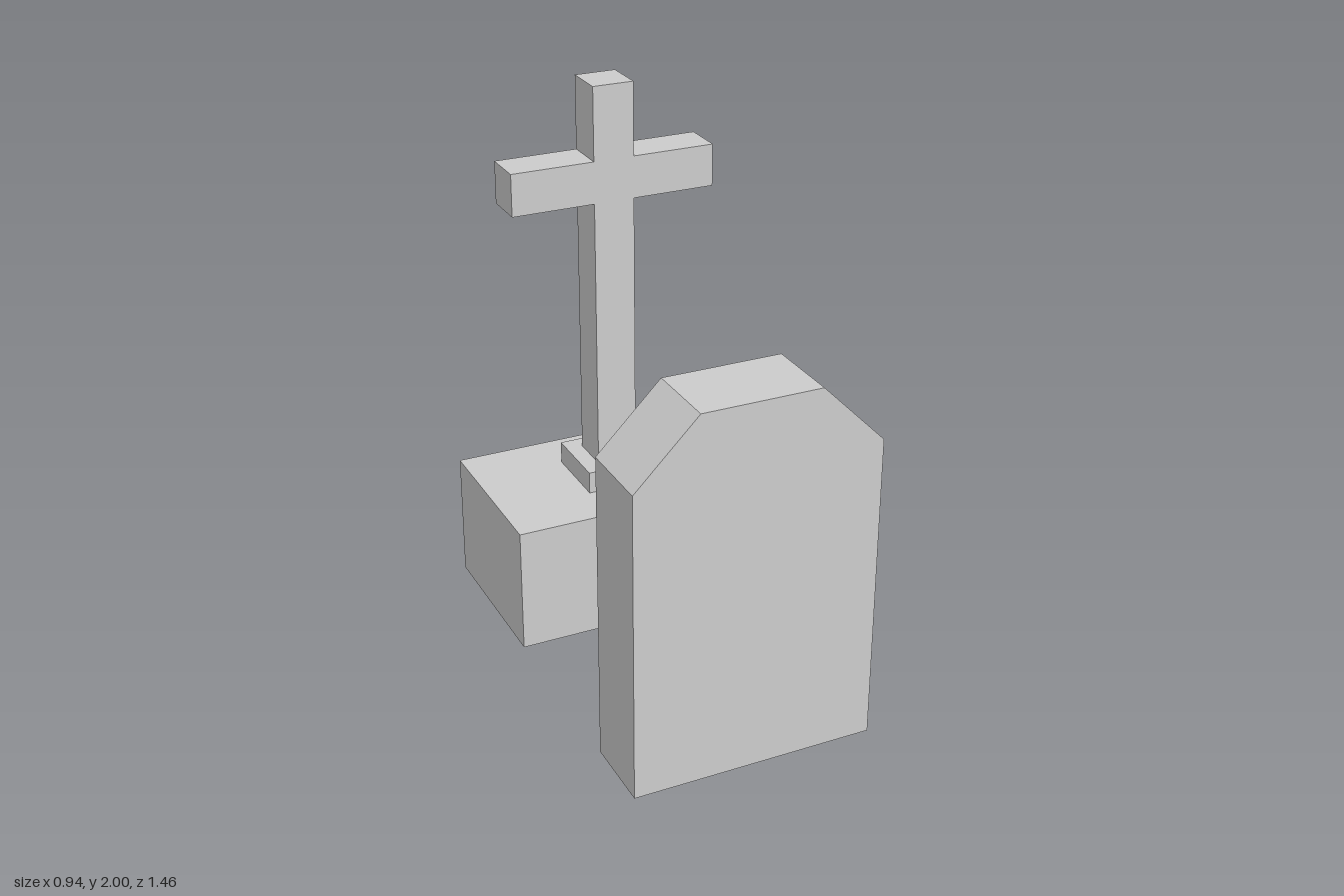
import * as THREE from 'three';

const material = new THREE.MeshStandardMaterial({ color: 0xcccccc, flatShading: true });

// Box given by its width about x = 0 and its y and z ranges
function block(name, width, y0, y1, z0, z1) {
  const mesh = new THREE.Mesh(new THREE.BoxGeometry(width, y1 - y0, z1 - z0), material);
  mesh.position.set(0, (y0 + y1) / 2, (z0 + z1) / 2);
  mesh.name = name;
  return mesh;
}

// Symmetric slab: right-hand outline (bottom to top) mirrored in x, extruded from z0 to z1
function slab(name, half, z0, z1) {
  const mirrored = half.map(([x, y]) => [-x, y]).reverse();
  const points = [...half, ...mirrored].map(([x, y]) => new THREE.Vector2(x, y));
  const geometry = new THREE.ExtrudeGeometry(new THREE.Shape(points), { depth: z1 - z0, bevelEnabled: false });
  const mesh = new THREE.Mesh(geometry, material);
  mesh.position.z = z0;
  mesh.name = name;
  return mesh;
}

export function createModel() {
  const model = new THREE.Group();
  model.name = 'graveMarkers';

  // Headstone with chamfered shoulders
  model.add(slab('headstone', [[0.43, 0], [0.43, 1.1], [0.208, 1.323]], 0.457, 0.73));

  // Stone cross on a stepped base
  const monument = new THREE.Group();
  monument.name = 'crossMonument';
  monument.add(
    block('base', 0.935, 0.073, 0.53, -0.73, -0.125),
    block('plinth', 0.266, 0.53, 0.61, -0.56, -0.297),
    slab('cross', [
      [0.073, 0.61], [0.073, 1.593], [0.369, 1.593],
      [0.369, 1.742], [0.073, 1.742], [0.073, 2],
    ], -0.503, -0.353),
  );
  model.add(monument);
  return model;
}
